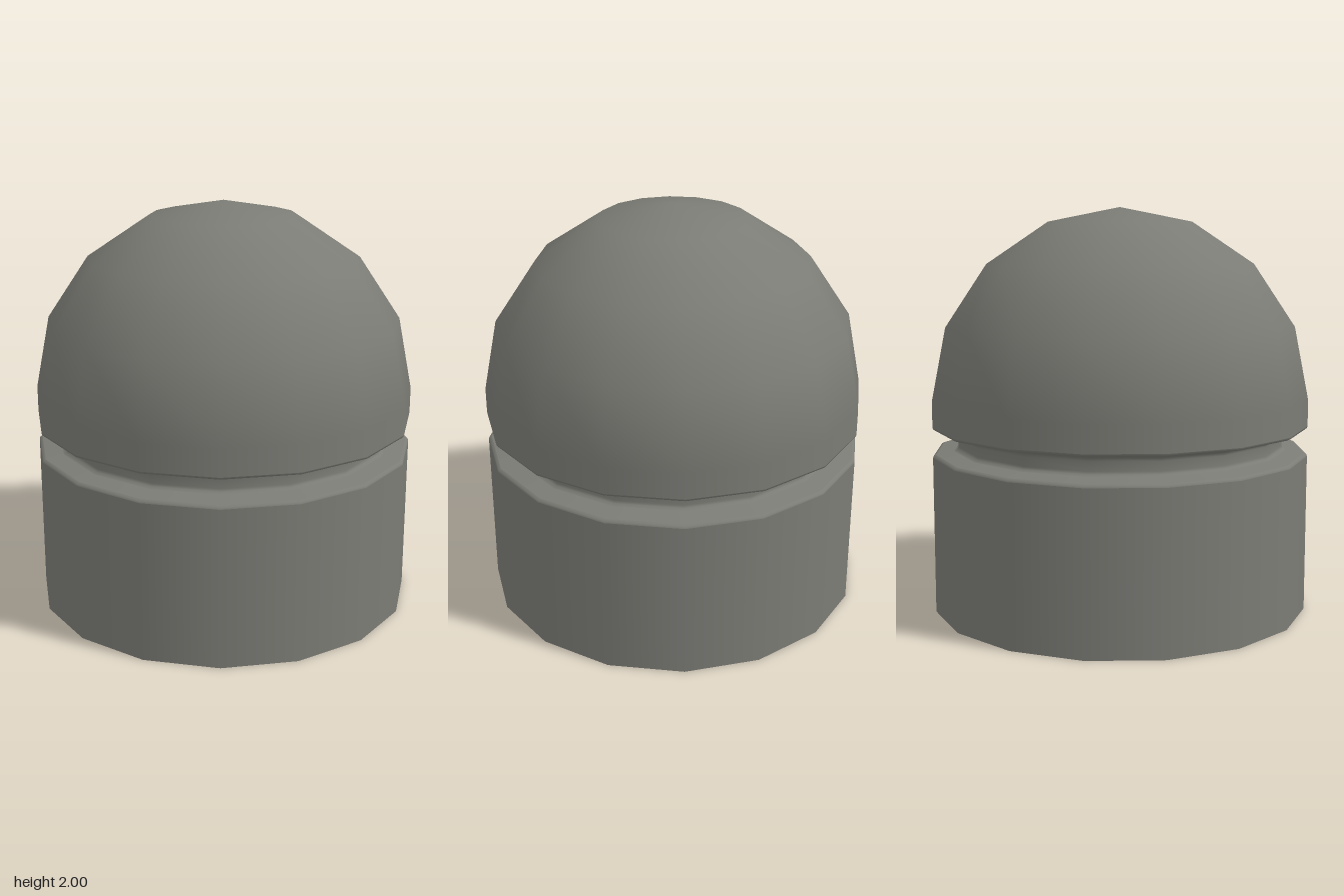
import * as THREE from 'three';

const SIDES = 16;
const R = 0.94;

export function createModel() {
  const group = new THREE.Group();
  const grey = new THREE.MeshStandardMaterial({ color: 0x7c7c76 });
  grey.name = 'warm grey';

  const add = (name, geometry) => {
    const mesh = new THREE.Mesh(geometry, grey);
    mesh.name = name;
    group.add(mesh);
    return mesh;
  };
  // Profiles run bottom to top as [radius, height]
  const lathe = (name, profile) =>
    add(name, new THREE.LatheGeometry(profile.map(([r, y]) => new THREE.Vector2(r, y)), SIDES));

  // Cylindrical base and its flat underside
  lathe('baseWall', [[R, 0], [R, 0.78]]);
  const underside = add('underside', new THREE.CircleGeometry(R, SIDES));
  underside.rotation.x = Math.PI / 2;

  // Softened lips with gently sloping shoulders around the groove
  lathe('lowerLip', [[R, 0.78], [0.937, 0.789], [0.925, 0.795]]);
  lathe('lowerShoulder', [[0.925, 0.795], [0.835, 0.81]]);
  lathe('grooveWall', [[0.835, 0.81], [0.82, 0.817], [0.815, 0.83], [0.815, 0.875], [0.82, 0.89], [0.835, 0.9]]);
  lathe('upperShoulder', [[0.835, 0.9], [0.925, 0.916]]);
  lathe('upperLip', [[0.925, 0.916], [0.937, 0.921], [R, 0.93]]);

  // Short collar and domed cap
  lathe('capCollar', [[R, 0.93], [R, 1.06]]);
  const dome = add('dome', new THREE.SphereGeometry(R, SIDES, 4, 0, Math.PI * 2, 0, Math.PI / 2));
  dome.position.y = 1.06;

  return group;
}
